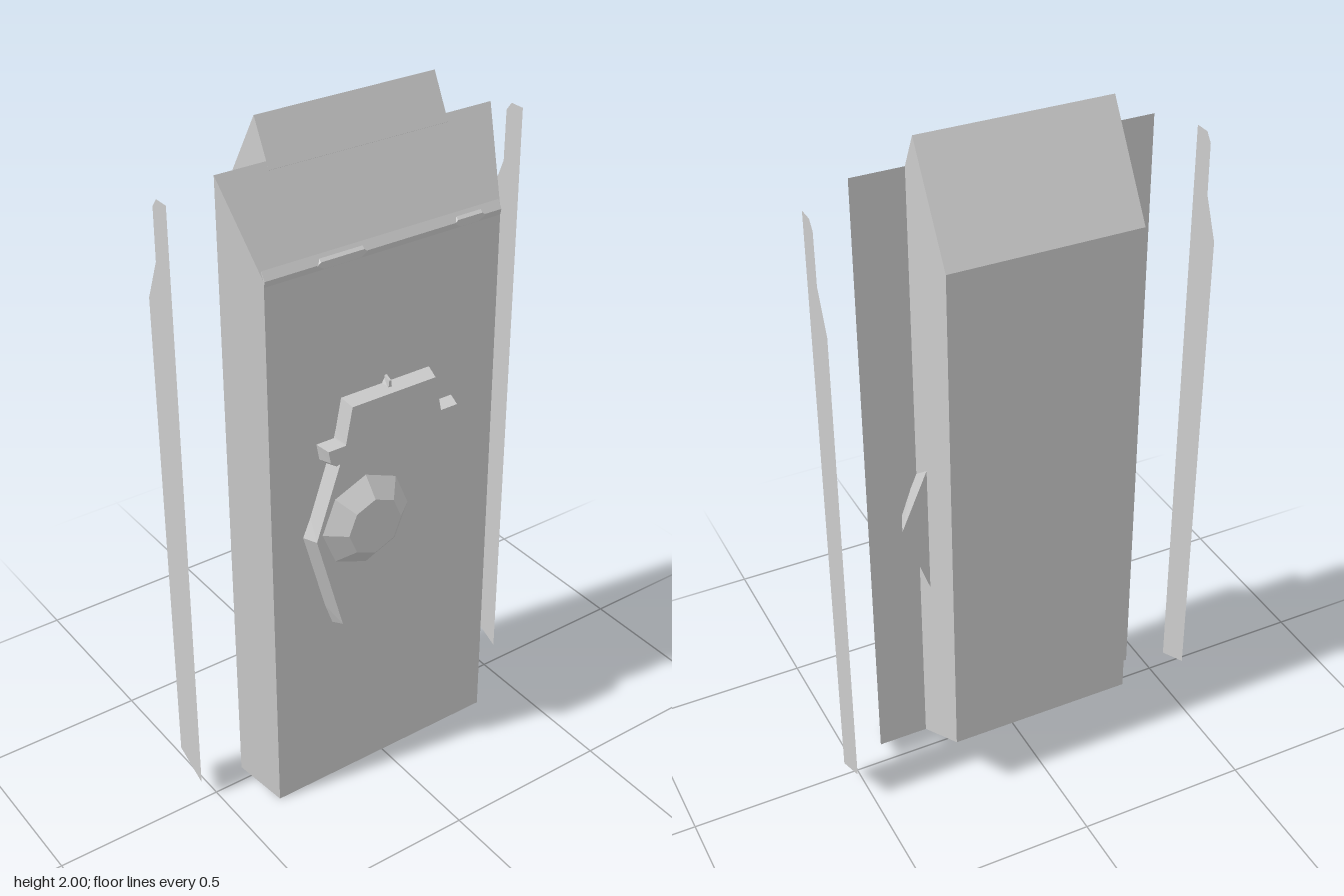
import * as THREE from 'three';

const grey = new THREE.MeshStandardMaterial({ color: 0xcccccc, flatShading: true });
const thin = new THREE.MeshStandardMaterial({ color: 0xcccccc, flatShading: true, side: THREE.DoubleSide });

function part(name, geometry, material = grey) {
  const mesh = new THREE.Mesh(geometry, material);
  mesh.name = name;
  return mesh;
}

// Closed solid between two matching outlines in xy, at depths zBack and zFront
function loft(back, zBack, front, zFront) {
  const pos = [];
  const n = back.length;
  const B = back.map(([x, y]) => [x, y, zBack]);
  const F = front.map(([x, y]) => [x, y, zFront]);
  const tri = (a, b, c) => pos.push(...a, ...b, ...c);
  for (let i = 0; i < n; i++) {
    const j = (i + 1) % n;
    tri(B[i], B[j], F[j]);
    tri(B[i], F[j], F[i]);
  }
  const faces = THREE.ShapeUtils.triangulateShape(front.map(([x, y]) => new THREE.Vector2(x, y)), []);
  for (const [a, b, c] of faces) {
    tri(F[a], F[b], F[c]);
    tri(B[a], B[c], B[b]);
  }
  const g = new THREE.BufferGeometry();
  g.setAttribute('position', new THREE.Float32BufferAttribute(pos, 3));
  g.computeVertexNormals();
  return g;
}

// Mirror a right-hand run of points (bottom to top) into a full outline
const mirror = (pts) => [...pts, ...pts.map(([x, y]) => [-x, y]).reverse()];

// Side profile given as [z, y]
const profile = (pts) => new THREE.Shape(pts.map(([z, y]) => new THREE.Vector2(z, y)));

// Profile extruded across x, centred on the given x
function slab(pts, width, x = 0) {
  const g = new THREE.ExtrudeGeometry(profile(pts), { depth: width, bevelEnabled: false });
  return g.translate(0, 0, -width / 2).rotateY(-Math.PI / 2).translate(x, 0, 0);
}

export function createModel() {
  const model = new THREE.Group();
  model.name = 'armouredVehicle';

  // Hull: wide tapered deck over a narrow belly
  model.add(part('upperHull', loft(
    mirror([[0.418, 0.06], [0.418, 1.9]]), 0.01,
    mirror([[0.365, 0], [0.365, 1.655]]), 0.13)));
  model.add(part('lowerHull', slab(
    [[0.02, 0.055], [0.02, 1.88], [-0.04, 2], [-0.213, 1.715], [-0.213, 0.2], [0.01, 0.06]], 0.543)));

  // Lip and fittings along the lower edge of the sloped bow plate
  model.add(part('bowLip', slab([[0.12, 1.64], [0.13, 1.64], [0.134, 1.657], [0.12, 1.68]], 0.73)));
  for (const [x, w] of [[-0.137, 0.15], [0.262, 0.1]]) {
    model.add(part('bowFitting', loft(
      [[x - w / 2, 1.655], [x - w / 2 + 0.02, 1.64], [x + w / 2 - 0.02, 1.64], [x + w / 2, 1.655],
        [x + w / 2 - 0.01, 1.68], [x - w / 2 + 0.01, 1.68]], 0.115,
      [[x - w / 2, 1.655], [x - w / 2 + 0.02, 1.643], [x + w / 2 - 0.02, 1.643], [x + w / 2, 1.655],
        [x + w / 2 - 0.01, 1.663], [x - w / 2 + 0.01, 1.663]], 0.134)));
  }

  // Turret flares downward and passes through the deck
  model.add(part('turret', loft(
    mirror([[0.212, 0.49], [0.348, 0.875], [0.212, 1.19], [0.18, 1.32]]), -0.06,
    mirror([[0.168, 0.57], [0.25, 0.875], [0.155, 1.145], [0.134, 1.25]]), 0.17)));

  // Small lugs on the turret cheeks
  for (const s of [1, -1]) {
    const outline = [[0.14, 1.09], [0.19, 1.08], [0.213, 1.1], [0.222, 1.15], [0.14, 1.15]];
    const top = [[0.14, 1.1], [0.185, 1.09], [0.203, 1.105], [0.21, 1.142], [0.14, 1.142]];
    const flip = (pts) => (s > 0 ? pts : pts.map(([x, y]) => [-x, y]).reverse());
    model.add(part(s > 0 ? 'leftLug' : 'rightLug', loft(flip(outline), 0.125, flip(top), 0.17)));
  }

  // Pointed stub at the turret front
  model.add(part('gunStub', loft(
    [[-0.025, 1.25], [0.025, 1.25], [0.004, 1.288], [-0.004, 1.288]], 0.12,
    [[-0.006, 1.25], [0.006, 1.25], [0.003, 1.275], [-0.003, 1.275]], 0.15)));

  // Eight-sided cupola
  const cupola = part('cupola', new THREE.CylinderGeometry(0.085, 0.143, 0.047, 8).rotateX(Math.PI / 2));
  cupola.position.set(-0.092, 0.89, 0.191);
  model.add(cupola);

  // Free-standing side skirts
  const skirt = [[-0.008, 0.055], [-0.004, 1.85], [-0.05, 1.85], [-0.069, 1.825],
    [-0.071, 1.68], [-0.118, 1.565], [-0.117, 0.107]];
  for (const s of [1, -1]) {
    const g = new THREE.ShapeGeometry(profile(skirt)).rotateY(-Math.PI / 2).translate(s * 0.542, 0, 0);
    model.add(part(s > 0 ? 'leftSkirt' : 'rightSkirt', g, thin));
  }

  return model;
}
